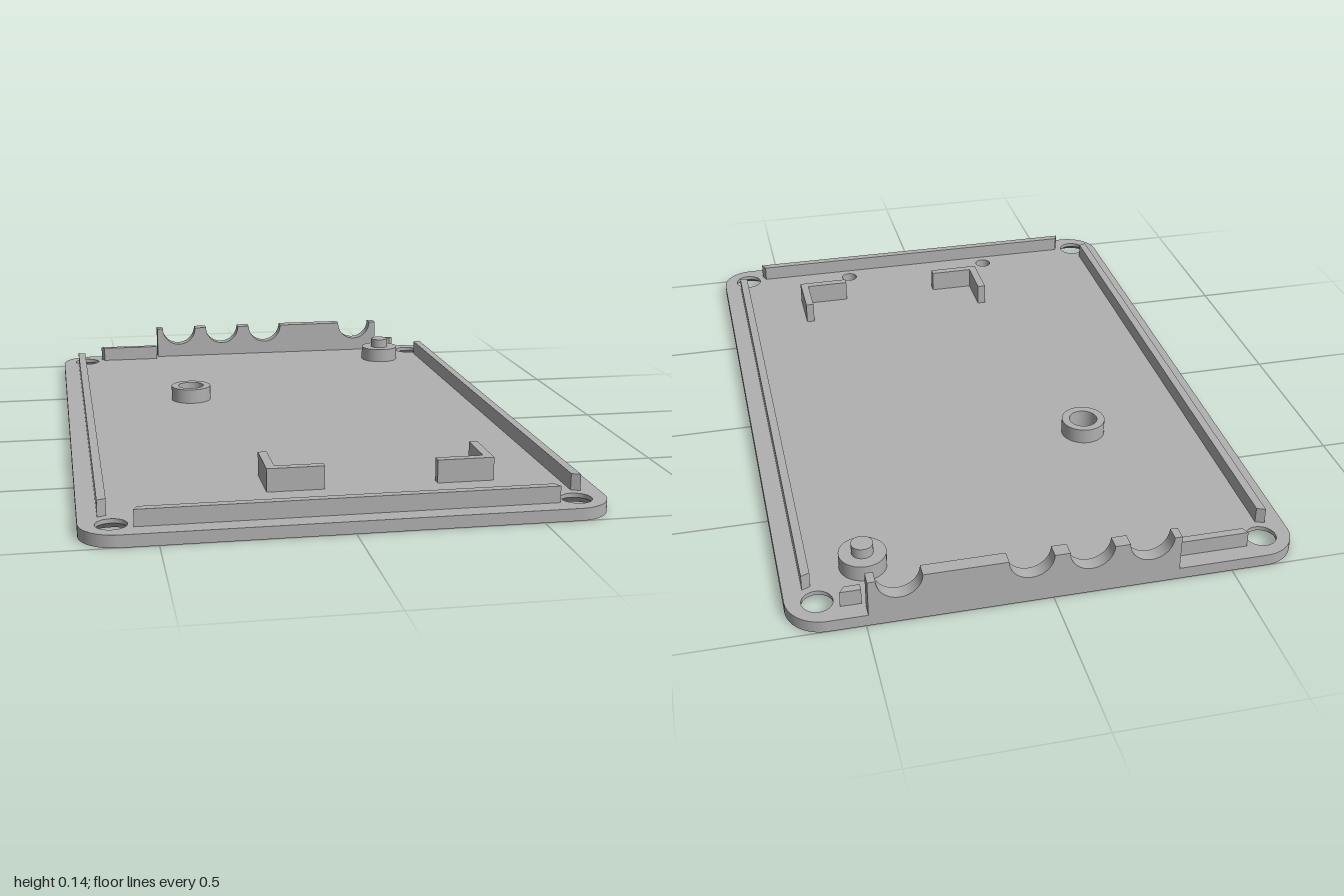
import * as THREE from 'three';

const grey = new THREE.MeshStandardMaterial({ color: 0xb0b0b0 });
grey.name = 'grey plastic';

const T = 0.034;      // base plate thickness
const RAIL = 0.08;    // top of rails and posts
const SINK = 0.022;   // countersink depth
const HOLE = 0.042, WIDE = 0.073;
const screws = [[-0.615, -0.917], [0.615, -0.917], [-0.615, 0.917], [0.615, 0.917], [-0.288, -0.305]];
const pins = [[-0.255, 0.873], [0.25, 0.873]];

export function createModel() {
  const model = new THREE.Group();
  const add = (name, geometry, x = 0, y = 0, z = 0) => {
    const mesh = new THREE.Mesh(geometry, grey);
    mesh.name = name;
    mesh.position.set(x, y, z);
    model.add(mesh);
  };
  // vertical prism over an outline of [x, z] points
  const prism = (name, points, y0, y1) => {
    const shape = new THREE.Shape(points.map(([x, z]) => new THREE.Vector2(x, -z)));
    const g = new THREE.ExtrudeGeometry(shape, { depth: y1 - y0, bevelEnabled: false });
    add(name, g.rotateX(-Math.PI / 2), 0, y0, 0);
  };
  const lathe = (name, profile, x, z) =>
    add(name, new THREE.LatheGeometry(profile.map(([r, y]) => new THREE.Vector2(r, y)), 40), x, 0, z);

  // rounded base outline; s = -1 flips z for the upward face
  const outline = (s, screwRadius) => {
    const w = 0.7, h = 1, r = 0.1, shape = new THREE.Shape();
    shape.absarc(w - r, h - r, r, 0, Math.PI / 2);
    shape.absarc(r - w, h - r, r, Math.PI / 2, Math.PI);
    shape.absarc(r - w, r - h, r, Math.PI, Math.PI * 1.5);
    shape.absarc(w - r, r - h, r, Math.PI * 1.5, Math.PI * 2);
    shape.closePath();
    const cut = (x, z, radius) =>
      shape.holes.push(new THREE.Path().absarc(x, s * z, radius, 0, Math.PI * 2, true));
    screws.forEach(([x, z]) => cut(x, z, screwRadius));
    pins.forEach(([x, z]) => cut(x, z, 0.026));
    return shape;
  };
  add('baseTop', new THREE.ShapeGeometry(outline(-1, HOLE), 20).rotateX(-Math.PI / 2), 0, T, 0);
  add('baseUnderside', new THREE.ShapeGeometry(outline(1, WIDE), 20).rotateX(Math.PI / 2));

  // base rim, a strip around the outline
  const ring = outline(1, HOLE).getPoints(20);
  const pos = [];
  ring.forEach((a, i) => {
    const b = ring[(i + 1) % ring.length];
    if (a.distanceTo(b) < 1e-6) return;
    pos.push(a.x, 0, a.y, a.x, T, a.y, b.x, T, b.y, a.x, 0, a.y, b.x, T, b.y, b.x, 0, b.y);
  });
  const rim = new THREE.BufferGeometry();
  rim.setAttribute('position', new THREE.Float32BufferAttribute(pos, 3));
  rim.computeVertexNormals();
  add('baseRim', rim);

  // hole linings: countersunk screws and plain pin holes
  screws.forEach(([x, z], i) => {
    lathe('countersink', [[HOLE, SINK], [WIDE, 0]], x, z);
    lathe('screwBore', [[HOLE, i === 4 ? RAIL : T], [HOLE, SINK]], x, z);
  });
  pins.forEach(([x, z]) => lathe('pinHole', [[0.026, T], [0.026, 0]], x, z));

  // hollow post around the inner screw hole
  const [px, pz] = screws[4];
  lathe('hollowPostSide', [[0.065, T], [0.065, RAIL]], px, pz);
  lathe('hollowPostTop', [[0.065, RAIL], [HOLE, RAIL]], px, pz);

  // locating post with a peg
  add('locatingPost', new THREE.CylinderGeometry(0.065, 0.065, RAIL - T, 40), 0.475, (RAIL + T) / 2, -0.797);
  add('locatingPeg', new THREE.CylinderGeometry(0.03, 0.03, 0.03, 32), 0.475, RAIL + 0.015, -0.797);

  // lip rails with slanted ends
  for (const s of [-1, 1]) {
    prism('sideRail', [[s * 0.648, -0.863], [s * 0.648, 0.858], [s * 0.624, 0.848], [s * 0.624, -0.853]], T, RAIL);
  }
  prism('frontRail', [[-0.56, 0.946], [0.56, 0.946], [0.55, 0.922], [-0.55, 0.922]], T, RAIL);
  prism('backRailRight', [[-0.56, -0.95], [-0.355, -0.95], [-0.355, -0.928], [-0.55, -0.928]], T, RAIL);
  prism('backRailLeft', [[0.503, -0.95], [0.56, -0.95], [0.545, -0.928], [0.503, -0.928]], T, RAIL);

  // L-shaped corner brackets
  const bracket = (x, s) => prism('cornerBracket', [[x, 0.73], [x + s * 0.16, 0.73], [x + s * 0.16, 0.705],
    [x + s * 0.025, 0.705], [x + s * 0.025, 0.57], [x, 0.57]], T, 0.1);
  bracket(-0.19, 1);
  bracket(0.445, -1);

  // back wall with half-round cable notches
  const wall = new THREE.Shape();
  wall.moveTo(0.494, T).lineTo(0.494, 0.14);
  for (const x of [0.411, 0.062, -0.102, -0.266]) {
    wall.lineTo(x + 0.061, 0.14);
    wall.absarc(x, 0.14, 0.061, 0, -Math.PI, true);
  }
  wall.lineTo(-0.348, 0.14).lineTo(-0.348, T).closePath();
  add('notchedBackWall', new THREE.ExtrudeGeometry(wall, { depth: 0.04, bevelEnabled: false, curveSegments: 20 }), 0, 0, -1);

  return model;
}
